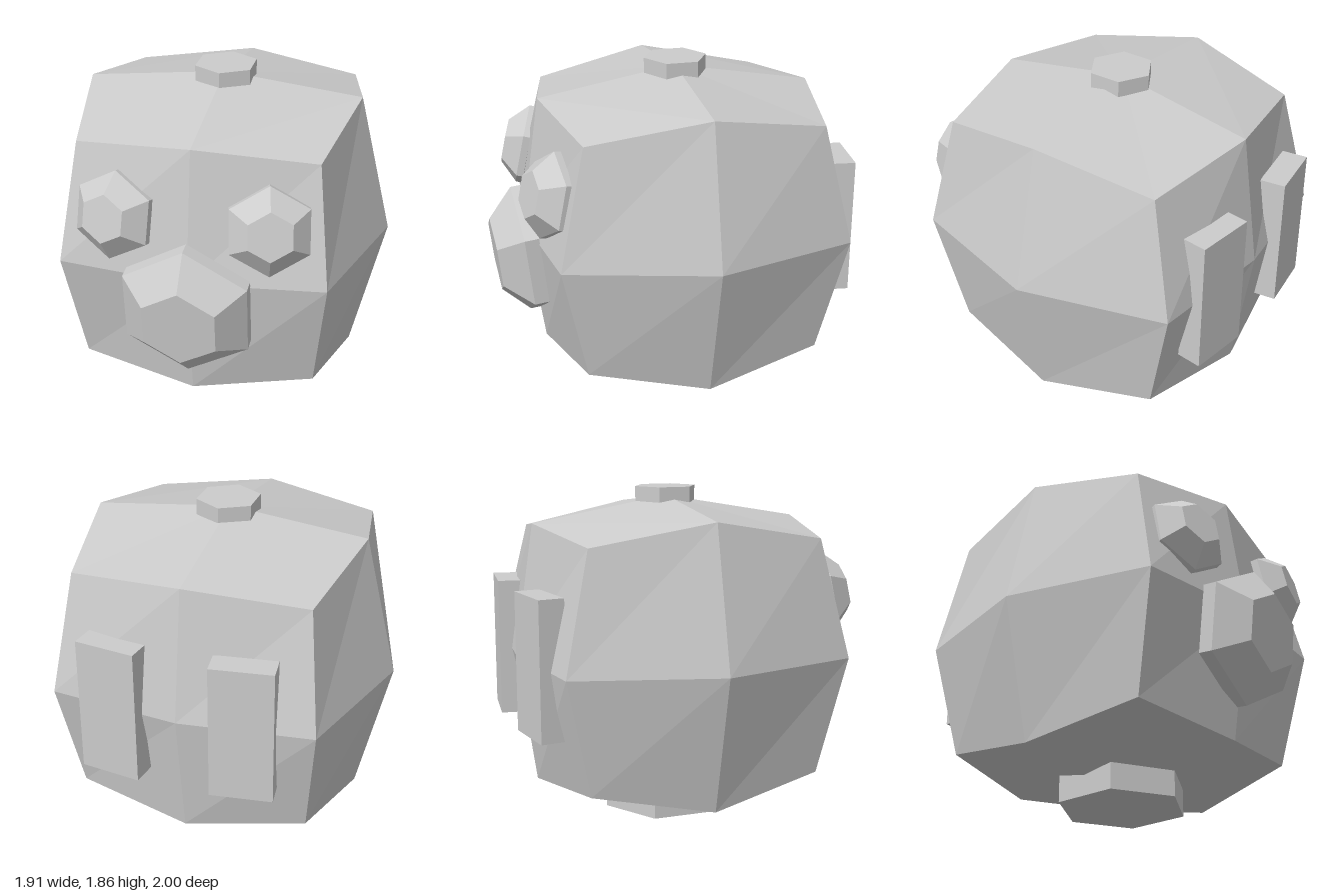
import * as THREE from 'three';

const material = new THREE.MeshStandardMaterial({ color: 0xcccccc, flatShading: true });

function addMesh(parent, name, geometry, x, y, z) {
  const mesh = new THREE.Mesh(geometry, material);
  mesh.name = name;
  mesh.position.set(x, y, z);
  parent.add(mesh);
  return mesh;
}

// Box split 2x2 per side, rounded by pushing corners, edge middles and side centres
function bodyGeometry() {
  const geometry = new THREE.BoxGeometry(2, 2, 2, 2, 2, 2);
  const p = geometry.attributes.position;
  const scales = {
    '111': [0.652, 0.655, 0.653],
    '110': [0.772, 0.775, 0],
    '011': [0, 0.725, 0.778],
    '101': [0.73, 0, 0.8],
    '100': [0.957, 0, 0],
    '010': [0, 0.86, 0],
    '001': [0, 0, 0.885],
  };
  for (let i = 0; i < p.count; i++) {
    const s = [p.getX(i), p.getY(i), p.getZ(i)].map(Math.round);
    const k = scales[s.map(Math.abs).join('')];
    p.setXYZ(i, s[0] * k[0], s[1] * k[1], s[2] * k[2]);
  }
  geometry.computeVertexNormals();
  return geometry;
}

// Six-sided stud: straight rim, then a bevel to a smaller flat front
function studGeometry(rimRadius, faceRadius, depth, bevel) {
  const profile = [
    [0, -depth], [rimRadius, -depth], [rimRadius, 0], [faceRadius, bevel], [0, bevel],
  ].map(([r, y]) => new THREE.Vector2(r, y));
  return new THREE.LatheGeometry(profile, 6);
}

export function createModel() {
  const model = new THREE.Group();
  model.name = 'roundedCubeHead';

  addMesh(model, 'body', bodyGeometry(), 0.007, 0.942, -0.07);

  // Hexagonal cap on top and foot below
  addMesh(model, 'topCap', new THREE.CylinderGeometry(0.178, 0.178, 0.1, 6), 0.015, 1.805, -0.07);
  addMesh(model, 'foot', new THREE.CylinderGeometry(0.368, 0.368, 0.16, 6), 0.015, 0.08, -0.067);

  // Nose, tipped slightly downward
  const nose = addMesh(model, 'nose', studGeometry(0.388, 0.225, 0.08, 0.145), 0.003, 0.778, 0.835);
  nose.rotation.x = Math.PI / 2 + 0.11;

  for (const side of [-1, 1]) {
    const label = side > 0 ? 'left' : 'right';

    // Eyes, turned upward and outward to follow the body
    const eye = addMesh(model, label + 'Eye', studGeometry(0.242, 0.133, 0.04, 0.105), 0.01 + side * 0.42, 1.265, 0.74);
    eye.rotation.order = 'YXZ';
    eye.rotation.set(Math.PI / 2 - 0.21, side * 0.23, 0);

    // Upright plates on the back
    const plate = addMesh(model, label + 'BackPlate', new THREE.BoxGeometry(0.34, 0.765, 0.143), 0.011 + side * 0.359, 0.947, -0.906);
    plate.rotation.y = -side * 0.135;
  }

  return model;
}
